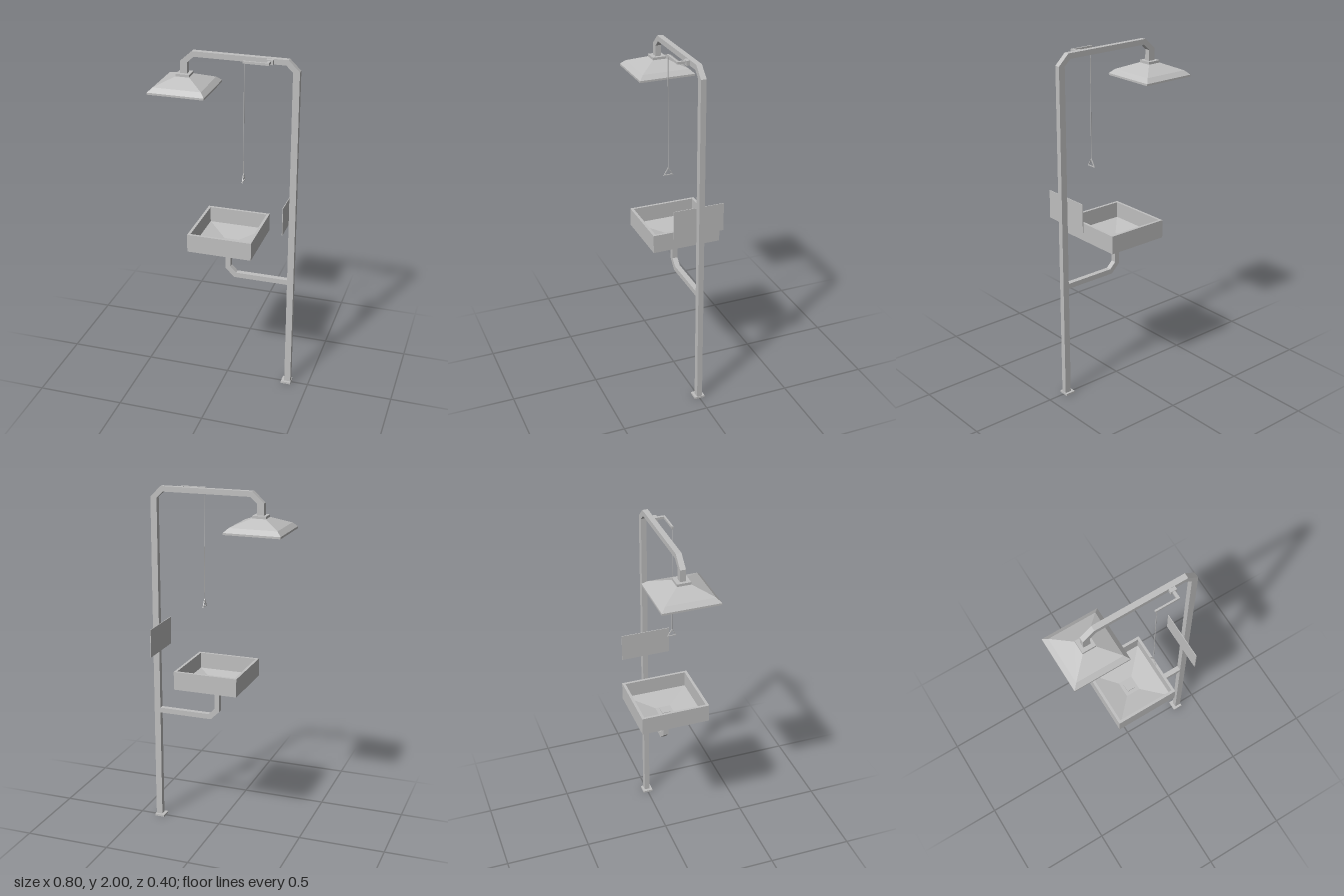
import * as THREE from 'three';

const metal = new THREE.MeshStandardMaterial({ color: 0xc0c0c0 });
metal.name = 'brushed steel';

export function createModel() {
  const model = new THREE.Group();
  model.name = 'safetyShower';

  function add(name, geometry, x = 0, y = 0, z = 0) {
    const mesh = new THREE.Mesh(geometry, metal);
    mesh.name = name;
    mesh.position.set(x, y, z);
    model.add(mesh);
    return mesh;
  }

  // Box given by its min and max on each axis
  function box(name, x0, x1, y0, y1, z0, z1) {
    return add(name, new THREE.BoxGeometry(x1 - x0, y1 - y0, z1 - z0),
      (x0 + x1) / 2, (y0 + y1) / 2, (z0 + z1) / 2);
  }

  // Flat outline in the xy plane, extruded evenly about z = 0
  function plate(name, outline, depth, hole) {
    const shape = new THREE.Shape(outline.map(p => new THREE.Vector2(...p)));
    if (hole) shape.holes.push(new THREE.Path(hole.map(p => new THREE.Vector2(...p))));
    const g = new THREE.ExtrudeGeometry(shape, { depth, bevelEnabled: false });
    g.translate(0, 0, -depth / 2);
    return add(name, g);
  }

  // Four-sided profile of [half width, height], with flat faces
  function squareTurned(name, profile, x, zScale = 1) {
    const pts = profile.map(([w, y]) => new THREE.Vector2(w * Math.SQRT2, y));
    const g = new THREE.LatheGeometry(pts, 4, Math.PI / 4).toNonIndexed();
    g.scale(1, 1, zScale);
    g.computeVertexNormals();
    return add(name, g, x);
  }

  // Base plate, post and overhead arm
  box('basePlate', 0.342, 0.4, 0, 0.012, -0.03, 0.03);
  plate('postAndArm', [
    [0.36, 0.005], [0.397, 0.005], [0.397, 1.94], [0.335, 2], [-0.195, 2], [-0.262, 1.94],
    [-0.262, 1.87], [-0.222, 1.87], [-0.222, 1.935], [-0.185, 1.97], [0.323, 1.97], [0.36, 1.935],
  ], 0.031);

  // Shower head
  squareTurned('showerHead', [
    [0, 1.785], [0.16, 1.785], [0.16, 1.796], [0.135, 1.82], [0.04, 1.86], [0, 1.86],
  ], -0.241);
  box('showerCollar', -0.28, -0.203, 1.858, 1.874, -0.038, 0.038);

  // Eyewash basin with sloped floor, drain and funnel
  squareTurned('basin', [
    [0, 0.868], [0.04, 0.868], [0.185, 0.895], [0.185, 1], [0.17, 1],
    [0.17, 0.908], [0.042, 0.883], [0, 0.883],
  ], 0.01, 1.068);
  box('drainCover', -0.014, 0.034, 0.882, 0.889, -0.024, 0.024);
  squareTurned('drainFunnel', [
    [0, 0.848], [0.024, 0.848], [0.038, 0.871], [0, 0.871],
  ], 0.008);

  // Drain pipe back to the post
  plate('drainPipe', [
    [0.362, 0.67], [0.362, 0.7], [0.057, 0.7], [0.022, 0.735], [0.022, 0.855],
    [-0.008, 0.855], [-0.008, 0.722], [0.045, 0.67],
  ], 0.03);

  // Sign panel on the post
  box('signPanel', 0.354, 0.358, 1.05, 1.212, -0.145, 0.145);

  // Valve and pull lever
  box('valveBody', 0.222, 0.258, 1.972, 1.998, 0.01, 0.036);
  box('valveStem', 0.231, 0.247, 1.981, 1.994, 0.034, 0.081);
  box('pullLever', 0.107, 0.247, 1.981, 1.994, 0.071, 0.081);

  // Pull rod and triangular handle
  add('pullRod', new THREE.CylinderGeometry(0.002, 0.002, 0.63, 6), 0.115, 1.67, 0.078);
  const handle = plate('pullHandle',
    [[-0.028, 0], [0.028, 0], [0, 0.047]], 0.005,
    [[-0.021, 0.004], [0, 0.039], [0.021, 0.004]]);
  handle.rotation.y = Math.PI / 2;
  handle.position.set(0.115, 1.314, 0.078);

  return model;
}
